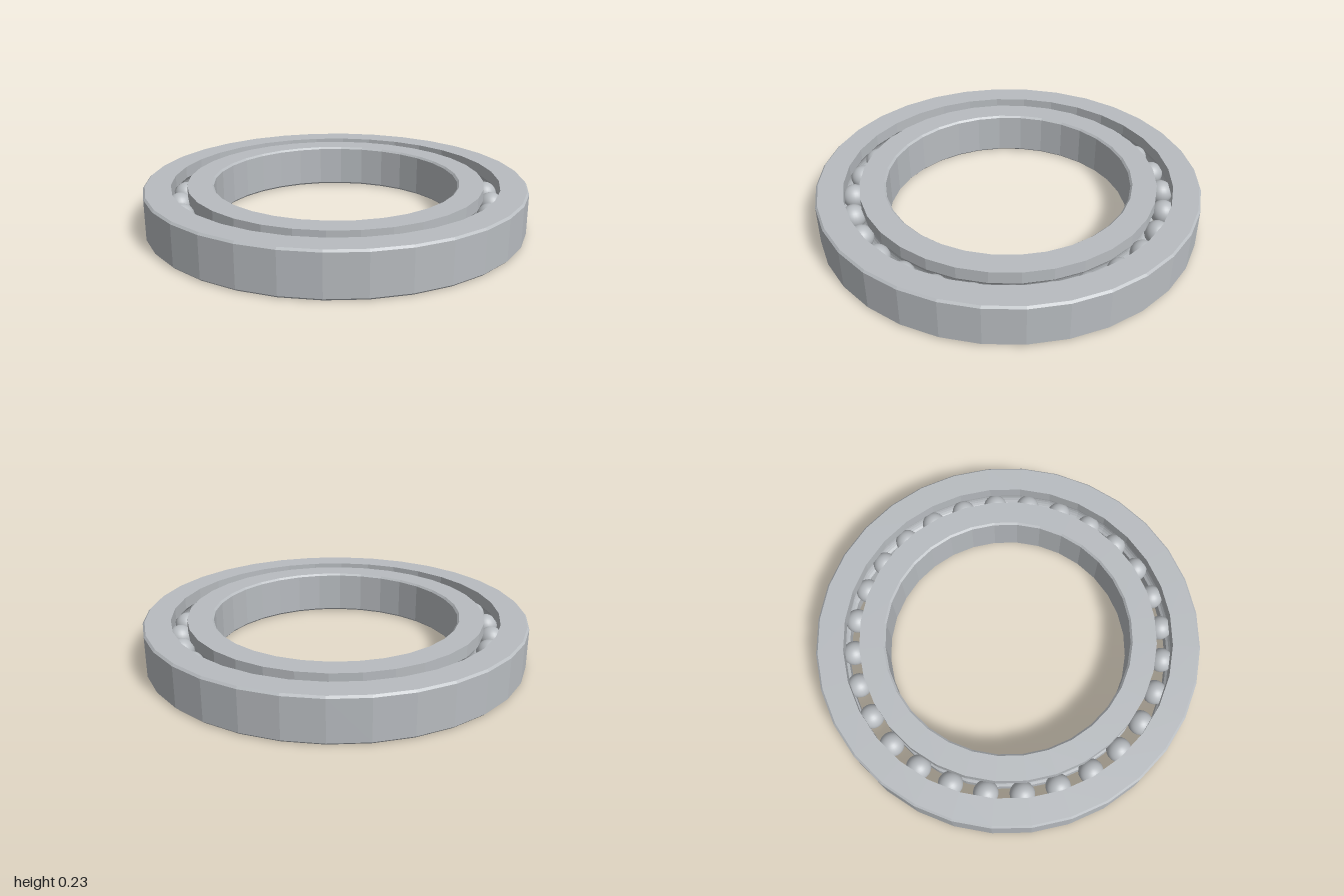
import * as THREE from 'three';

const HEIGHT = 0.23, MID = HEIGHT / 2;
const CHAMFER = 0.01;
const PITCH = 0.817;   // radius of the circle of ball centres
const BALL = 0.064, GROOVE = 0.066;
const BALLS = 28, SIDES = 32;
const INNER_LAND = 0.775, OUTER_LAND = 0.858;

// Points of the raceway groove cut into a land at radius r, from y = low to high (dir 1) or back (dir -1)
function groove(r, dir) {
  const side = Math.sign(r - PITCH);
  const half = Math.acos(Math.abs(r - PITCH) / GROOVE);
  const points = [];
  for (let i = 0; i <= 8; i++) {
    const a = dir * half * (i / 4 - 1);
    points.push([PITCH + side * GROOVE * Math.cos(a), MID + GROOVE * Math.sin(a)]);
  }
  return points;
}

function ring(name, profile, material) {
  const points = [...profile, profile[0]].map(([r, y]) => new THREE.Vector2(r, y));
  const mesh = new THREE.Mesh(new THREE.LatheGeometry(points, SIDES), material);
  mesh.name = name;
  return mesh;
}

export function createModel() {
  const model = new THREE.Group();
  model.name = 'ballBearing';

  const steel = new THREE.MeshStandardMaterial({ color: 0xb8bcc0, flatShading: true });
  steel.name = 'steel';
  // Same colour as the rings, with smooth normals for the balls
  const polished = new THREE.MeshStandardMaterial({ color: 0xb8bcc0 });
  polished.name = 'polished steel';

  // Outer ring: chamfered rim, grooved inner wall
  model.add(ring('outerRing', [
    [OUTER_LAND, 0], [1 - CHAMFER, 0], [1, CHAMFER],
    [1, HEIGHT - CHAMFER], [1 - CHAMFER, HEIGHT], [OUTER_LAND, HEIGHT],
    ...groove(OUTER_LAND, -1),
  ], steel));

  // Inner ring: chamfered bore, grooved outer wall
  const bore = 0.64;
  model.add(ring('innerRing', [
    [bore + CHAMFER, 0], [INNER_LAND, 0],
    ...groove(INNER_LAND, 1),
    [INNER_LAND, HEIGHT], [bore + CHAMFER, HEIGHT],
    [bore, HEIGHT - CHAMFER], [bore, CHAMFER],
  ], steel));

  // Balls running between the raceways
  const balls = new THREE.Group();
  balls.name = 'balls';
  const sphere = new THREE.SphereGeometry(BALL, 24, 16);
  for (let i = 0; i < BALLS; i++) {
    const a = (i / BALLS) * Math.PI * 2;
    const ball = new THREE.Mesh(sphere, polished);
    ball.name = 'ball';
    ball.position.set(PITCH * Math.sin(a), MID, PITCH * Math.cos(a));
    ball.rotation.y = a;
    balls.add(ball);
  }
  model.add(balls);

  return model;
}
